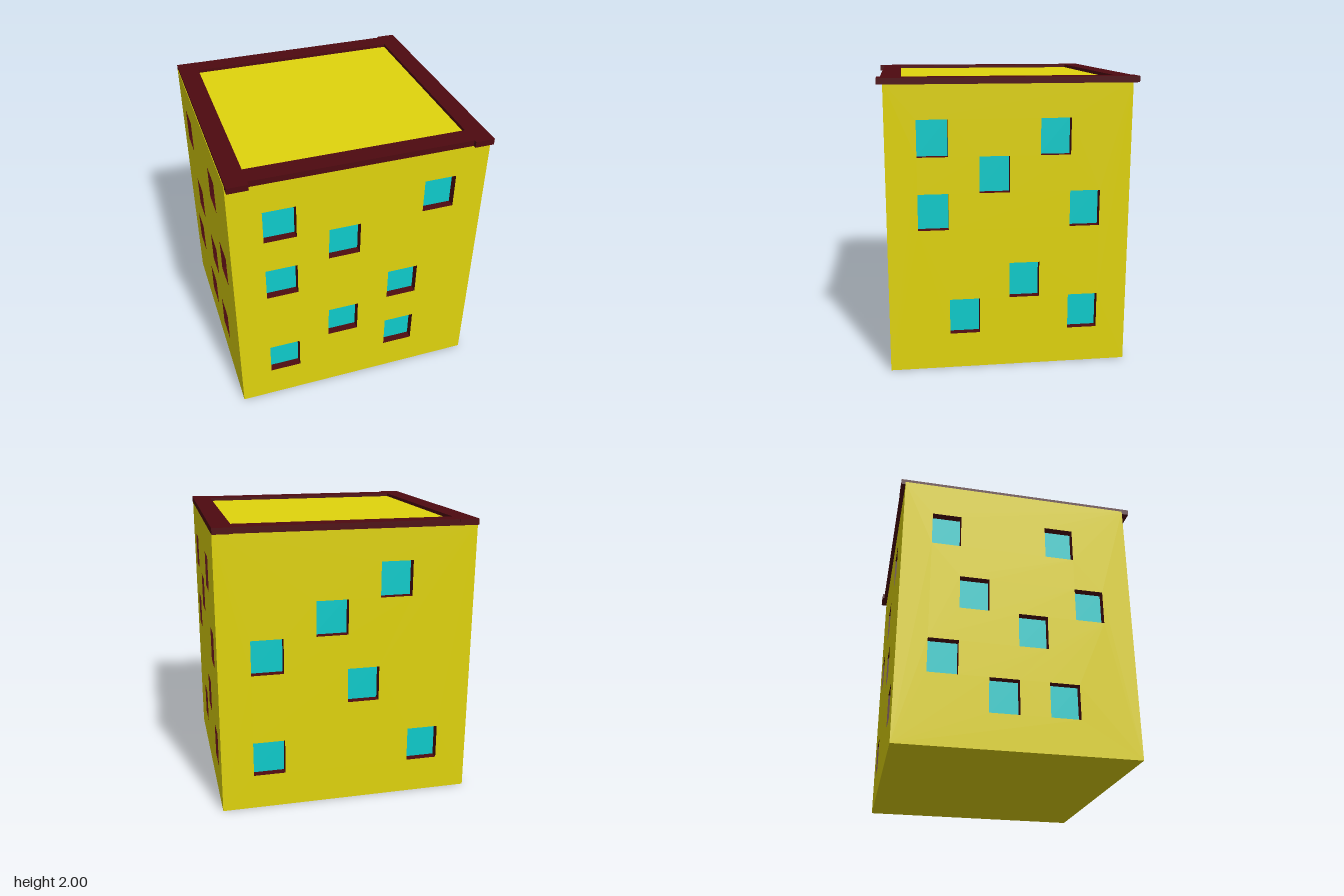
import * as THREE from 'three';
import { mergeGeometries } from 'three/addons/utils/BufferGeometryUtils.js';

const W = 1.791, D = 1.646, H = 1.977; // block size
const CX = -0.005, CZ = -0.007; // block centre
const DEPTH = 0.055; // window recess
const ROW = 0.247;
const SKEW = 0.008; // the block leans slightly: z grows with x

const material = (color) => new THREE.MeshStandardMaterial({ color });
const yellow = material(0xe0d40d);
const darkRed = material(0x4e0a10);
const cyan = material(0x0ecccc);

const skew = new THREE.Matrix4().set(1, 0, 0, 0, 0, 1, 0, 0, SKEW, 0, 1, 0, 0, 0, 0, 1);

function addMesh(group, name, geometry, mat) {
  const mesh = new THREE.Mesh(geometry, mat);
  mesh.name = name;
  group.add(mesh);
}

// Four inward-facing sides of a recess: left, right, bottom, top
function revealSides(w, h, x, y) {
  const q = Math.PI / 2;
  return [
    new THREE.PlaneGeometry(DEPTH, h).rotateY(q).translate(-w / 2, 0, 0),
    new THREE.PlaneGeometry(DEPTH, h).rotateY(-q).translate(w / 2, 0, 0),
    new THREE.PlaneGeometry(w, DEPTH).rotateX(-q).translate(0, -h / 2, 0),
    new THREE.PlaneGeometry(w, DEPTH).rotateX(q).translate(0, h / 2, 0),
  ].map((g) => g.translate(x, y, -DEPTH / 2));
}

// Wall with window openings; cells are [column, row] on an 8 by 8 grid
function buildWall({ name, width, distance, angle, cells, plain }) {
  const group = new THREE.Group();
  group.name = name;
  const half = width / 2;
  const col = width / 8;
  const outline = new THREE.Shape([
    new THREE.Vector2(-half, 0), new THREE.Vector2(half, 0),
    new THREE.Vector2(half, H), new THREE.Vector2(-half, H),
  ]);
  const panes = [], reveals = [], plainReveals = [];
  cells.forEach(([c, r], i) => {
    const x0 = -half + c * col, y0 = r * ROW + 0.002;
    const x1 = x0 + col, y1 = y0 + ROW;
    outline.holes.push(new THREE.Path([
      new THREE.Vector2(x0, y0), new THREE.Vector2(x0, y1),
      new THREE.Vector2(x1, y1), new THREE.Vector2(x1, y0),
    ]));
    const x = (x0 + x1) / 2, y = (y0 + y1) / 2;
    panes.push(new THREE.PlaneGeometry(col, ROW).translate(x, y, -DEPTH));
    revealSides(col, ROW, x, y).forEach((side, s) => {
      const isPlain = plain && plain[0] === i && plain[1] === s;
      (isPlain ? plainReveals : reveals).push(side);
    });
  });
  const place = (g) => g.translate(0, 0, distance).rotateY(angle)
    .translate(CX, 0, CZ).applyMatrix4(skew);
  addMesh(group, name + 'Surface', place(new THREE.ShapeGeometry(outline)), yellow);
  addMesh(group, name + 'Panes', place(mergeGeometries(panes)), cyan);
  addMesh(group, name + 'Reveals', place(mergeGeometries(reveals)), darkRed);
  if (plainReveals.length) {
    addMesh(group, name + 'PlainReveal', place(mergeGeometries(plainReveals)), yellow);
  }
  return group;
}

export function createModel() {
  const model = new THREE.Group();
  model.name = 'building';

  // Walls; plain = [window index, side index] of the one unpainted reveal
  const walls = [
    { name: 'frontWall', width: W, distance: D / 2, angle: 0, plain: [5, 0],
      cells: [[1, 6], [6, 6], [3, 5], [1, 4], [5, 3], [3, 2], [1, 1], [5, 1]] },
    { name: 'leftWall', width: D, distance: W / 2, angle: Math.PI / 2, plain: [3, 1],
      cells: [[1, 6], [5, 6], [3, 5], [1, 4], [6, 4], [4, 2], [2, 1], [6, 1]] },
    { name: 'backWall', width: W, distance: D / 2, angle: Math.PI,
      cells: [[5, 6], [3, 5], [1, 4], [4, 3], [1, 1], [6, 1]] },
    { name: 'rightWall', width: D, distance: W / 2, angle: -Math.PI / 2,
      cells: [[1, 6], [5, 6], [2, 4], [6, 4], [4, 3], [1, 2], [3, 1], [5, 1]] },
  ];
  walls.forEach((wall) => model.add(buildWall(wall)));

  // Roof and floor
  const slab = (turn, y) => new THREE.PlaneGeometry(W, D).rotateX(turn)
    .translate(CX, y, CZ).applyMatrix4(skew);
  addMesh(model, 'roof', slab(-Math.PI / 2, H), yellow);
  addMesh(model, 'floor', slab(Math.PI / 2, 0), yellow);

  // Roof trim: straight side bars, slightly skewed front and back bars
  const trimBar = (x0, x1, z0, z1) => new THREE.BoxGeometry(x1 - x0, 0.042, z1 - z0)
    .translate((x0 + x1) / 2, 1.979, (z0 + z1) / 2);
  addMesh(model, 'rightTrim', trimBar(-0.897, -0.758, -0.866, 0.862), darkRed);
  addMesh(model, 'leftTrim', trimBar(0.758, 0.893, -0.866, 0.862), darkRed);
  addMesh(model, 'frontTrim', trimBar(-0.76, 0.76, 0.695, 0.832).applyMatrix4(skew), darkRed);
  addMesh(model, 'backTrim', trimBar(-0.76, 0.76, -0.857, -0.723).applyMatrix4(skew), darkRed);

  return model;
}
